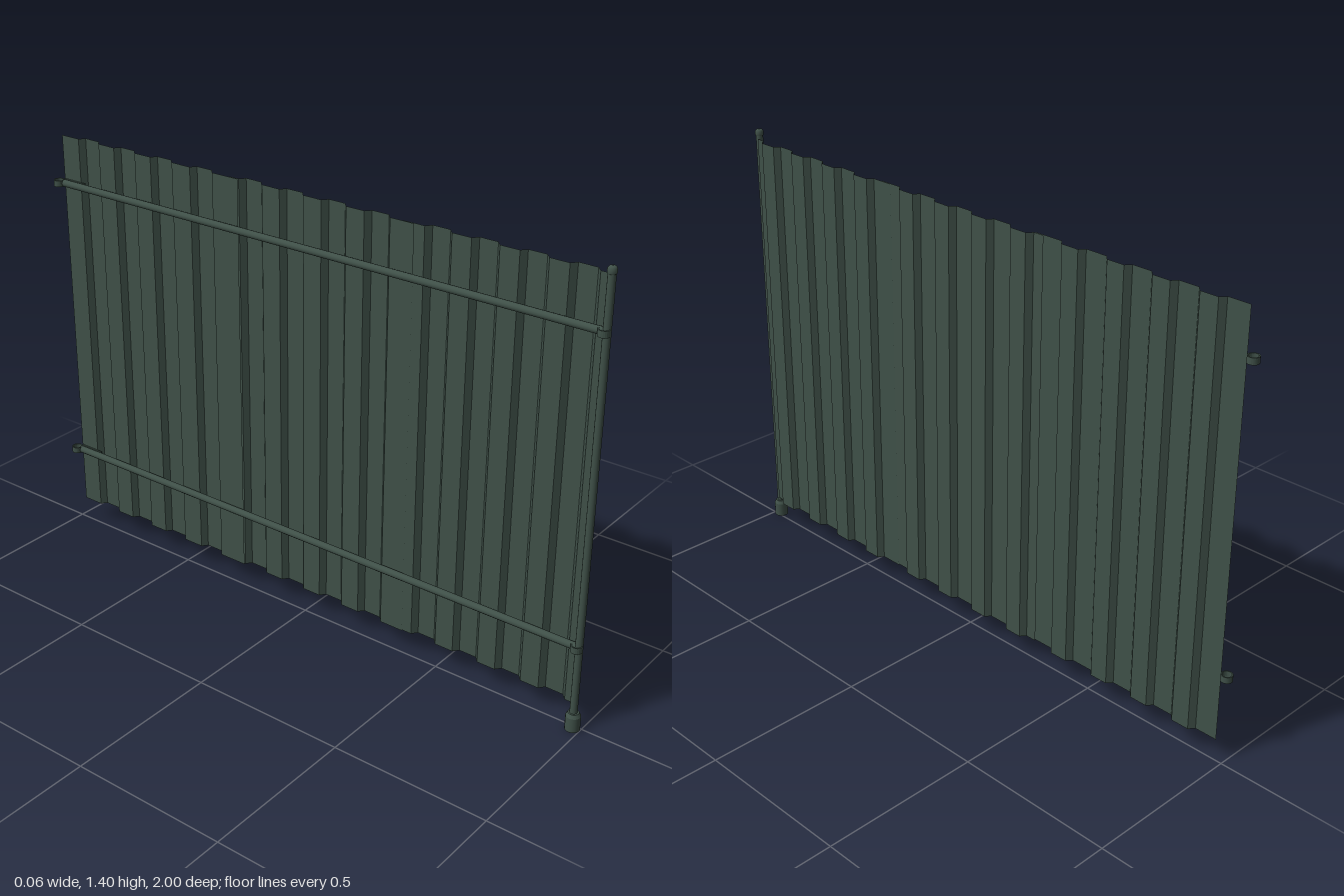
import * as THREE from 'three';

const green = new THREE.MeshStandardMaterial({ color: 0x3f5048 });
green.name = 'dark green paint';
const greenSheet = green;
greenSheet.side = THREE.DoubleSide;

const POST_X = -0.012;
const POST_Z = 0.977;

// Vertical ribbed sheet: a folded profile of [z, x] points swept from bottom to top
function sheet(zStart, zEnd, ribs, xStart, xEnd) {
  const pts = [[zStart, 0]];
  for (const c of ribs) {
    for (const [dz, x] of [[0.047, 0], [0.031, 0.018], [-0.027, 0.018], [-0.041, 0]]) pts.push([c + dz, x]);
  }
  pts.push([zEnd, 0]);
  const y0 = 0.073, y1 = 1.377;
  const pos = [];
  const place = ([z, x], y) => [x + xStart + (xEnd - xStart) * (zStart - z) / (zStart - zEnd), y, z];
  for (let i = 0; i < pts.length - 1; i++) {
    const a = place(pts[i], y0), b = place(pts[i + 1], y0);
    const c = place(pts[i + 1], y1), d = place(pts[i], y1);
    pos.push(...a, ...b, ...c, ...a, ...c, ...d);
  }
  const g = new THREE.BufferGeometry();
  g.setAttribute('position', new THREE.Float32BufferAttribute(pos, 3));
  g.computeVertexNormals();
  return g;
}

// Short open band that wraps a pipe
function band(outer, inner, height) {
  const s = new THREE.Shape().absarc(0, 0, outer, 0, Math.PI * 2);
  s.holes.push(new THREE.Path().absarc(0, 0, inner, 0, Math.PI * 2, true));
  const g = new THREE.ExtrudeGeometry(s, { depth: height, bevelEnabled: false, curveSegments: 10 });
  return g.translate(0, 0, -height / 2).rotateX(Math.PI / 2);
}

export function createModel() {
  const group = new THREE.Group();
  const add = (name, geometry, x = 0, y = 0, z = 0) => {
    const mesh = new THREE.Mesh(geometry, green);
    mesh.name = name;
    mesh.position.set(x, y, z);
    group.add(mesh);
    return mesh;
  };

  // Post with rounded cap
  add('post', new THREE.CylinderGeometry(0.0115, 0.0115, 1.34, 16), POST_X, 0.72, POST_Z);
  const cap = [[0.0115, 1.384], [0.0135, 1.386], [0.0135, 1.398], [0.009, 1.404], [0, 1.405]];
  add('postCap', new THREE.LatheGeometry(cap.map(p => new THREE.Vector2(...p)), 16), POST_X, 0, POST_Z);

  // Foot with bevelled shoulder
  add('foot', new THREE.CylinderGeometry(0.0225, 0.0225, 0.046, 16), POST_X, 0.023, POST_Z);
  add('footShoulder', new THREE.CylinderGeometry(0.0165, 0.0225, 0.011, 16), POST_X, 0.0515, POST_Z);

  // Two horizontal pipes, each with a band at both ends
  for (const y of [0.274, 1.226]) {
    const rail = add('rail', new THREE.CylinderGeometry(0.0115, 0.0115, 1.94, 12), POST_X, y, 0.005);
    rail.rotation.x = Math.PI / 2;
    add('postBand', band(0.0175, 0.014, 0.02), -0.018, y, 0.972);
    add('hingeBand', band(0.0175, 0.014, 0.02), -0.018, y, -0.9825);
    add('hingeStrap', new THREE.BoxGeometry(0.004, 0.02, 0.09), 0.0005, y, -0.93);
  }

  // Three ribbed sheets, overlapping at the joints
  add('frontSheet', sheet(0.966, 0.33, [0.89, 0.742, 0.593, 0.443], 0.004, 0.008));
  add('middleSheet', sheet(0.37, -0.29, [0.243, 0.092, -0.06, -0.213], 0.004, 0.009));
  add('rearSheet', sheet(-0.255, -0.979, [-0.4, -0.56, -0.713, -0.866], 0.004, 0.004));

  return group;
}
